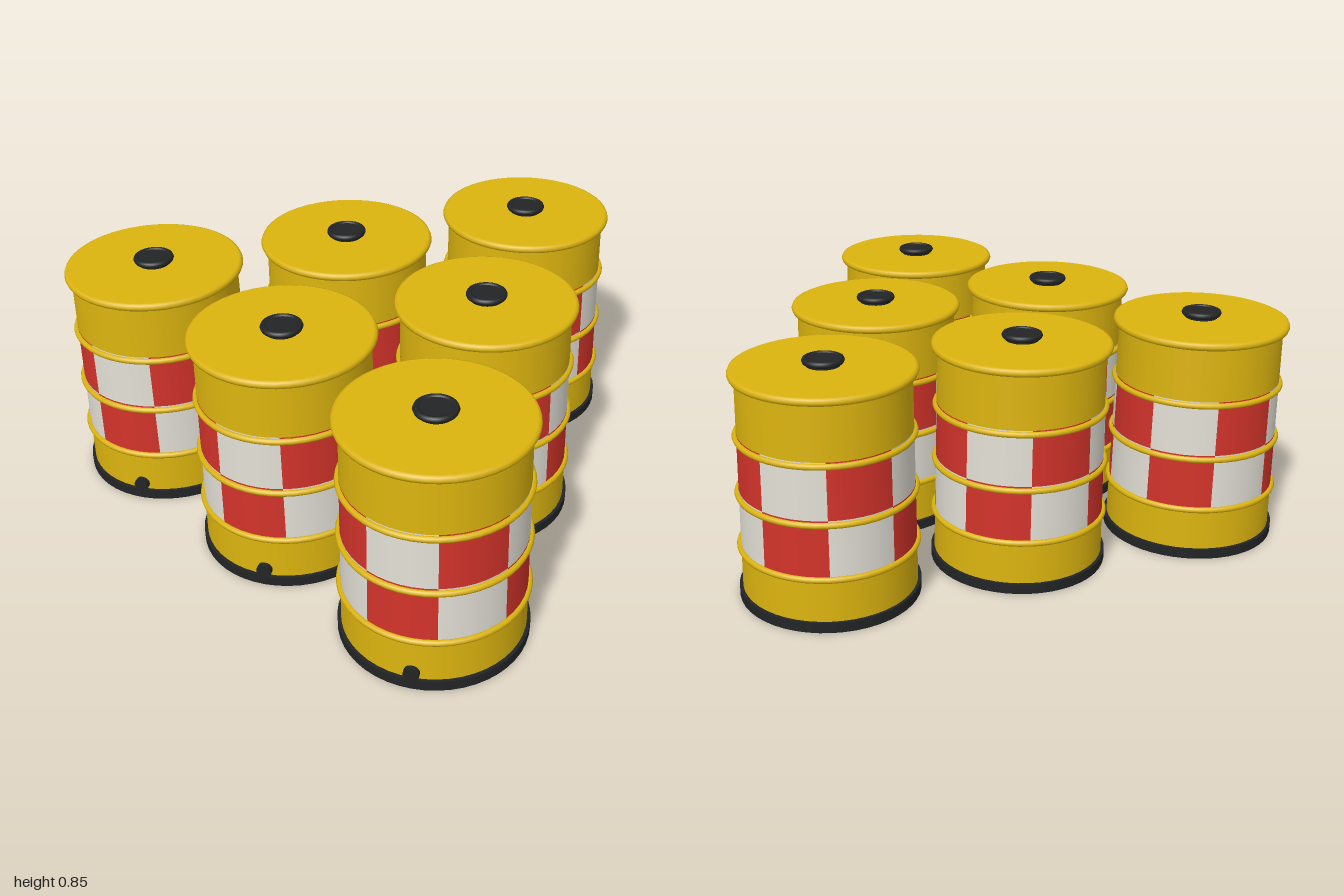
import * as THREE from 'three';

const mat = (name, color) => Object.assign(new THREE.MeshStandardMaterial({ color }), { name });

export function createModel() {
  const yellow = mat('drum yellow', 0xdcb40f);
  const red = mat('band red', 0xd2332a);
  const white = mat('band white', 0xe2dfd5);
  const black = mat('rubber black', 0x222425);

  const TOP = 0.81, BASE = 0.315;
  const wall = (y) => 0.304 - 0.012 * (y / TOP); // slight taper towards the lid

  function add(parent, name, geometry, material, y = 0) {
    const mesh = new THREE.Mesh(geometry, material);
    mesh.name = name;
    mesh.position.y = y;
    parent.add(mesh);
    return mesh;
  }

  // Open wall section between two heights, optionally only an arc of it
  function section(y0, y1, start = 0, arc = Math.PI * 2, segments = 48) {
    const g = new THREE.CylinderGeometry(wall(y1), wall(y0), y1 - y0, segments, 1, true, start, arc);
    return g.translate(0, (y0 + y1) / 2, 0);
  }

  function lathe(points, segments = 48) {
    return new THREE.LatheGeometry(points.map(([x, y]) => new THREE.Vector2(x, y)), segments);
  }

  const hoop = (r, tube) => new THREE.TorusGeometry(r, tube, 8, 48).rotateX(Math.PI / 2);

  // One checker cell on the underside, trimmed to the round edge
  function underCell(x0, x1, z0, z1, r) {
    const near = [], far = [];
    for (let i = 0; i <= 6; i++) {
      const x = x0 + (x1 - x0) * i / 6;
      const edge = Math.sqrt(r * r - x * x);
      near.push(new THREE.Vector2(x, Math.max(z0, -edge)));
      far.unshift(new THREE.Vector2(x, Math.min(z1, edge)));
    }
    return new THREE.ShapeGeometry(new THREE.Shape([...near, ...far])).rotateX(Math.PI / 2);
  }

  function createDrum() {
    const drum = new THREE.Group();

    // Wall: plain bottom and top, two rows of alternating panels between
    add(drum, 'lowerWall', section(0.03, 0.2), yellow);
    add(drum, 'upperWall', section(0.602, TOP), yellow);
    const rows = [[0.2, 0.4], [0.4, 0.602]];
    rows.forEach(([y0, y1], row) => {
      for (let k = 0; k < 8; k++) {
        const material = (k + row) % 2 ? white : red;
        add(drum, 'bandPanel', section(y0, y1, k * Math.PI / 4, Math.PI / 4, 6), material);
      }
    });

    // Rolling hoops and rounded lid rim
    for (const y of [0.19, 0.385, 0.588]) add(drum, 'hoop', hoop(wall(y) + 0.003, 0.011), yellow, y);
    add(drum, 'lidRim', hoop(0.3, 0.0145), yellow, 0.806);
    add(drum, 'lid', new THREE.CircleGeometry(0.302, 48).rotateX(-Math.PI / 2), yellow, 0.82);

    // Filler cap: neck, rounded grip ring and flat top
    add(drum, 'capNeck', new THREE.CylinderGeometry(0.058, 0.058, 0.024, 32), black, 0.831);
    add(drum, 'capRing', hoop(0.06, 0.011), black, 0.837);

    // Rubber foot
    add(drum, 'foot', lathe([[BASE, 0], [BASE, 0.036]]), black);
    add(drum, 'footLedge', new THREE.RingGeometry(0.29, BASE, 48).rotateX(-Math.PI / 2), black, 0.036);

    // Underside with a two-row checker strip
    add(drum, 'underside', new THREE.CircleGeometry(BASE, 48).rotateX(Math.PI / 2), yellow, 0.003);
    const r = BASE - 0.002;
    for (let k = 0; k < 8; k++) {
      const z0 = -r + k * r / 4;
      for (const upper of [0, 1]) {
        const x0 = upper ? -r / 2 : 0;
        add(drum, 'undersidePanel', underCell(x0, x0 + r / 2, z0, z0 + r / 4, r),
          (k + upper) % 2 ? white : red);
      }
    }

    // Drain plug on the front, turned towards the left
    const plug = new THREE.CylinderGeometry(0.026, 0.026, 0.06, 20)
      .rotateX(Math.PI / 2).translate(0, 0, 0.29).rotateY(Math.PI / 6);
    add(drum, 'drainPlug', plug, black, 0.06);
    return drum;
  }

  // Triangle of six drums
  const model = new THREE.Group();
  model.name = 'drumBarrier';
  const drum = createDrum();
  for (let row = 0; row < 3; row++) {
    for (let i = 0; i <= row; i++) {
      const copy = drum.clone();
      copy.name = `drum${row + 1}${i + 1}`;
      copy.position.set((i - row / 2) * 0.685, 0, (row - 1) * 0.62);
      model.add(copy);
    }
  }
  return model;
}
